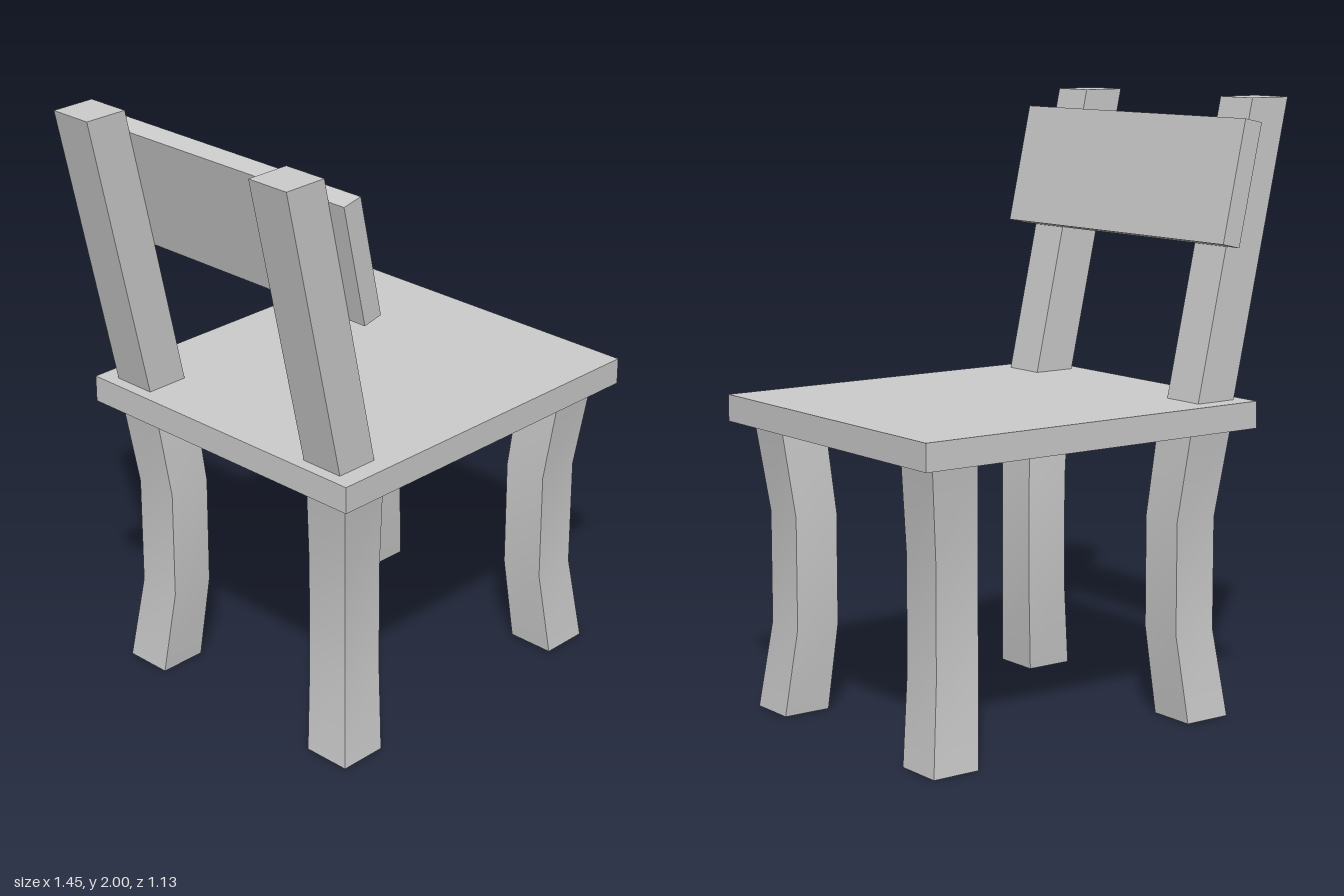
import * as THREE from 'three';
import { toCreasedNormals } from 'three/addons/utils/BufferGeometryUtils.js';

const material = new THREE.MeshStandardMaterial({ color: 0xcccccc });

function part(name, geometry, x = 0, y = 0, z = 0) {
  const mesh = new THREE.Mesh(geometry, material);
  mesh.name = name;
  mesh.position.set(x, y, z);
  return mesh;
}

// Side profile in x/y, extruded to a width centred on z = 0
function plank(points, width) {
  const shape = new THREE.Shape(points.map(([x, y]) => new THREE.Vector2(x, y)));
  return new THREE.ExtrudeGeometry(shape, { depth: width, bevelEnabled: false }).translate(0, 0, -width / 2);
}

// Square leg whose middle section bows towards the seat centre
function legGeometry(sx, sz) {
  const levels = [0, 0.29, 0.66, 0.955];
  const geometry = new THREE.BoxGeometry(1, 3, 1, 1, 3, 1);
  const p = geometry.attributes.position;
  for (let i = 0; i < p.count; i++) {
    const row = Math.round(p.getY(i) + 1.5);
    const bowed = row === 1 || row === 2;
    const inset = bowed ? 0.03 : 0;
    const size = bowed ? 0.155 : 0.165;
    p.setXYZ(i, sx * (0.499 - inset) + p.getX(i) * size, levels[row], sz * (0.422 - inset) + p.getZ(i) * size);
  }
  return toCreasedNormals(geometry, Math.PI / 6);
}

export function createModel() {
  const chair = new THREE.Group();
  chair.name = 'chair';

  // Seat
  chair.add(part('seat', new THREE.BoxGeometry(1.283, 0.088, 1.126), 0.0855, 0.997, 0));

  // Legs and leaning back posts
  const post = plank([[-0.515, 1.04], [-0.366, 1.04], [-0.577, 2], [-0.727, 2]], 0.152);
  for (const sz of [-1, 1]) {
    const side = sz > 0 ? 'Right' : 'Left';
    chair.add(part('back' + side + 'Leg', legGeometry(-1, sz), 0.083));
    chair.add(part('front' + side + 'Leg', legGeometry(1, sz), 0.083));
    chair.add(part('post' + side, post, 0, 0, sz * 0.422));
  }

  // Backrest slat on the front of the posts
  chair.add(part('backrest', plank([[-0.475, 1.535], [-0.408, 1.55], [-0.494, 1.94], [-0.562, 1.926]], 1.12)));

  return chair;
}
